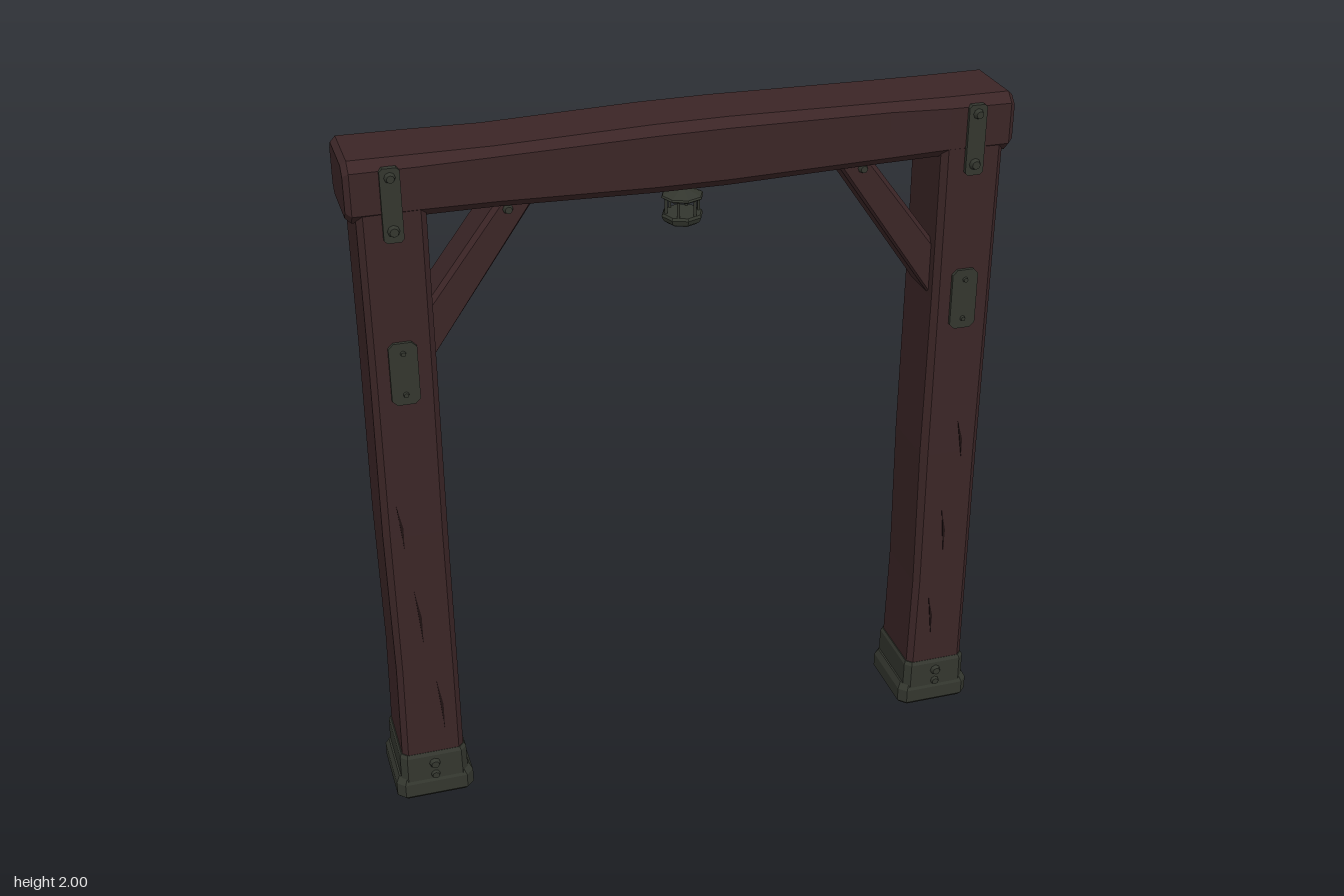
import * as THREE from 'three';

const wood = new THREE.MeshStandardMaterial({ color: 0x3b2526 });
wood.name = 'dark red wood';
const metal = new THREE.MeshStandardMaterial({ color: 0x33362e });
metal.name = 'aged iron';
const crackDark = new THREE.MeshStandardMaterial({ color: 0x1e1112 });
crackDark.name = 'crack brown';

function add(parent, name, geometry, material, x = 0, y = 0, z = 0) {
  const mesh = new THREE.Mesh(geometry, material);
  mesh.name = name;
  mesh.position.set(x, y, z);
  parent.add(mesh);
  return mesh;
}

// Chamfered timber: rings of [t, centreU, centreV, halfU, halfV, chamfer].
// Axis x uses u = y, v = z; axis y uses u = z, v = x.
function loft(rings, axis) {
  const loops = rings.map(([t, cu, cv, a, b, c]) =>
    [[a, c - b], [a, b - c], [a - c, b], [c - a, b], [-a, b - c], [-a, c - b], [c - a, -b], [a - c, -b]]
      .map(([u, v]) => axis === 'x' ? [t, cu + u, cv + v] : [cv + v, t, cu + u]));
  const pos = [];
  const tri = (...pts) => pts.forEach(p => pos.push(...p));
  for (let i = 0; i < loops.length - 1; i++) {
    for (let j = 0; j < 8; j++) {
      const k = (j + 1) % 8;
      tri(loops[i][j], loops[i][k], loops[i + 1][k]);
      tri(loops[i][j], loops[i + 1][k], loops[i + 1][j]);
    }
  }
  const first = loops[0], last = loops[loops.length - 1];
  for (let j = 1; j < 7; j++) {
    tri(first[0], first[j + 1], first[j]);
    tri(last[0], last[j], last[j + 1]);
  }
  const g = new THREE.BufferGeometry();
  g.setAttribute('position', new THREE.Float32BufferAttribute(pos, 3));
  g.computeVertexNormals();
  return g;
}

// Flat plate with clipped corners, centred on its own origin
function plateGeometry(w, h, depth, c) {
  const a = w / 2, b = h / 2;
  const shape = new THREE.Shape([[a, c - b], [a, b - c], [a - c, b], [c - a, b], [-a, b - c], [-a, c - b], [c - a, -b], [a - c, -b]]
    .map(p => new THREE.Vector2(...p)));
  return new THREE.ExtrudeGeometry(shape, { depth, bevelEnabled: false }).translate(0, 0, -depth / 2);
}

function bolt(parent, x, y, z, r = 0.015) {
  const g = new THREE.CylinderGeometry(r * 0.65, r, 0.016, 8).rotateX(Math.PI / 2);
  const mesh = add(parent, 'bolt', g, metal, x, y, z);
  if (z < 0) mesh.rotation.y = Math.PI;
}

function makePost(side) {
  const post = new THREE.Group();
  post.name = side < 0 ? 'rightPost' : 'leftPost';
  const x = side * 0.795;

  // Slightly uneven timber
  add(post, 'postTimber', loft([
    [0.1, 0, x, 0.11, 0.091, 0.016],
    [0.45, 0.002, x + 0.002, 0.108, 0.088, 0.016],
    [0.9, 0, x - 0.001, 0.11, 0.09, 0.018],
    [1.4, -0.001, x + 0.001, 0.109, 0.089, 0.016],
    [1.88, 0, x, 0.11, 0.09, 0.016]], 'y'), wood);

  // Stepped iron shoe
  add(post, 'shoeBase', loft([
    [0, 0, x, 0.112, 0.106, 0.02],
    [0.012, 0, x, 0.122, 0.114, 0.022],
    [0.055, 0, x, 0.122, 0.114, 0.022],
    [0.075, 0, x, 0.112, 0.104, 0.02]], 'y'), metal);
  add(post, 'shoeSleeve', loft([
    [0.06, 0, x, 0.118, 0.099, 0.018],
    [0.145, 0, x, 0.117, 0.098, 0.018],
    [0.155, 0, x, 0.111, 0.093, 0.016]], 'y'), metal);

  for (const f of [1, -1]) {
    bolt(post, x, 0.118, f * 0.121, 0.018);
    bolt(post, x, 0.078, f * 0.119, 0.016);
    // Strap tying post to beam
    add(post, 'beamStrap', plateGeometry(0.052, 0.2, 0.016, 0.008), metal, x, 1.873, f > 0 ? 0.113 : -0.112);
    bolt(post, x, 1.805, f * 0.125, 0.018);
    bolt(post, x, 1.948, f > 0 ? 0.126 : -0.13, 0.016);
    // Plate at brace height
    add(post, 'bracePlate', plateGeometry(0.076, 0.18, 0.018, 0.014), metal, x, 1.4, f * 0.109);
    bolt(post, x, 1.46, f * 0.117, 0.01);
    bolt(post, x, 1.34, f * 0.117, 0.01);
  }
  return post;
}

function makeBrace(side) {
  const brace = new THREE.Group();
  brace.name = side < 0 ? 'rightBrace' : 'leftBrace';
  const shape = new THREE.Shape([[0.73, 1.375], [0.73, 1.545], [0.5, 1.85], [0.4, 1.85]]
    .map(p => new THREE.Vector2(...p)));
  const g = new THREE.ExtrudeGeometry(shape, {
    depth: 0.11, bevelThickness: 0.012, bevelSize: 0.012, bevelOffset: -0.012, bevelSegments: 1,
  }).translate(0, 0, -0.055);
  add(brace, 'braceTimber', g, wood);
  for (const z of [0.072, -0.072]) bolt(brace, 0.49, 1.808, z, 0.015);
  if (side < 0) brace.rotation.y = Math.PI;
  return brace;
}

function makeLantern() {
  const lantern = new THREE.Group();
  lantern.name = 'lantern';
  const lathe = pts => new THREE.LatheGeometry(pts.map(p => new THREE.Vector2(...p)), 8).toNonIndexed();
  const flat = g => { g.computeVertexNormals(); return g; };
  add(lantern, 'hangerBall', new THREE.SphereGeometry(0.015, 10, 8), metal, 0, 1.806, 0);
  add(lantern, 'hangerRod', new THREE.CylinderGeometry(0.004, 0.004, 0.04, 6), metal, 0, 1.79, 0);
  add(lantern, 'roof', flat(lathe([
    [0, 1.757], [0.052, 1.757], [0.059, 1.762], [0.056, 1.767], [0.012, 1.784], [0, 1.788]])), metal);
  add(lantern, 'base', flat(lathe([
    [0, 1.687], [0.042, 1.687], [0.053, 1.695], [0.058, 1.708], [0.054, 1.715], [0, 1.715]])), metal);
  for (let i = 0; i < 6; i++) {
    const a = i * Math.PI / 3;
    add(lantern, 'cageBar', new THREE.CylinderGeometry(0.004, 0.004, 0.05, 6), metal,
      Math.cos(a) * 0.046, 1.736, Math.sin(a) * 0.046);
  }
  return lantern;
}

// Thin tapered crack on the front of a post
function addCrack(parent, x0, y0, x1, y1) {
  const xm = (x0 + x1) / 2 + 0.004, ym = (y0 + y1) / 2, w = 0.004;
  const shape = new THREE.Shape([[x0, y0], [xm - w, ym], [x1, y1], [xm + w, ym]]
    .map(p => new THREE.Vector2(...p)));
  add(parent, 'crack', new THREE.ExtrudeGeometry(shape, { depth: 0.006, bevelEnabled: false }), crackDark, 0, 0, 0.107);
}

export function createModel() {
  const model = new THREE.Group();
  model.name = 'timberGate';

  // Gently bowed top beam
  add(model, 'topBeam', loft([
    [-0.91, 1.908, -0.007, 0.07, 0.108, 0.022],
    [-0.895, 1.908, -0.007, 0.083, 0.12, 0.026],
    [-0.72, 1.908, -0.007, 0.082, 0.118, 0.025],
    [-0.52, 1.905, -0.01, 0.082, 0.111, 0.022],
    [-0.1, 1.905, -0.01, 0.094, 0.114, 0.024],
    [0.1, 1.905, -0.01, 0.095, 0.114, 0.024],
    [0.55, 1.906, -0.012, 0.086, 0.113, 0.022],
    [0.72, 1.908, -0.008, 0.083, 0.118, 0.025],
    [0.895, 1.908, -0.007, 0.083, 0.12, 0.026],
    [0.91, 1.908, -0.007, 0.07, 0.108, 0.022]], 'x'), wood);

  for (const side of [-1, 1]) model.add(makePost(side), makeBrace(side));
  model.add(makeLantern());

  const cracks = [
    [-0.845, 1.0, -0.832, 0.86], [-0.815, 0.72, -0.8, 0.54], [-0.772, 0.41, -0.757, 0.23],
    [0.81, 1.0, 0.828, 0.88], [0.78, 0.7, 0.793, 0.56], [0.758, 0.39, 0.772, 0.26]];
  for (const c of cracks) addCrack(model, ...c);
  return model;
}
